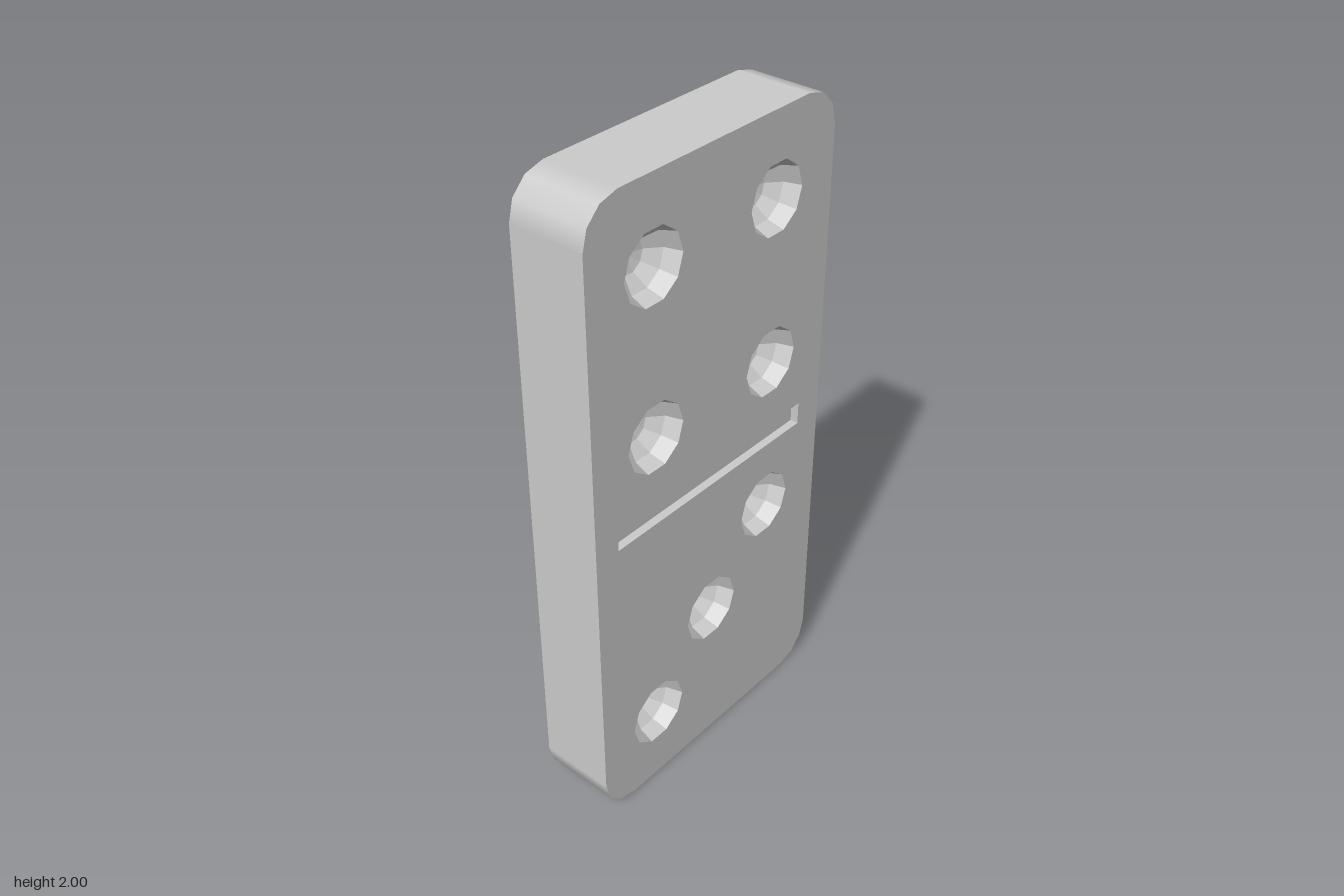
import * as THREE from 'three';

const HALF_W = 0.48, HEIGHT = 2, HALF_T = 0.118, CORNER = 0.12, CORNER_STEPS = 3;
const PIP_R = 0.107, PIP_SIDES = 10, GROOVE_DEPTH = 0.025;

// Closed wall through a loop of points, between two depths; normals are optional
function wall(points, z0, z1, normals) {
  const pos = [], nor = [];
  points.forEach((p, i) => {
    const j = (i + 1) % points.length, q = points[j];
    const corners = [[p, z0, i], [q, z0, j], [q, z1, j], [p, z0, i], [q, z1, j], [p, z1, i]];
    for (const [v, z, k] of corners) {
      pos.push(v.x, v.y, z);
      if (normals) nor.push(normals[k].x, normals[k].y, 0);
    }
  });
  const g = new THREE.BufferGeometry();
  g.setAttribute('position', new THREE.Float32BufferAttribute(pos, 3));
  if (normals) g.setAttribute('normal', new THREE.Float32BufferAttribute(nor, 3));
  else g.computeVertexNormals();
  return g;
}

export function createModel() {
  const model = new THREE.Group();
  const tile = new THREE.Group(); // built facing +z, then turned to face +x
  tile.name = 'dominoTile';
  tile.rotation.y = Math.PI / 2;
  model.add(tile);

  const smooth = new THREE.MeshStandardMaterial({ color: 0xcccccc });
  const faceted = new THREE.MeshStandardMaterial({ color: 0xcccccc, flatShading: true });
  const add = (name, geometry, material = smooth) => {
    const mesh = new THREE.Mesh(geometry, material);
    mesh.name = name;
    tile.add(mesh);
    return mesh;
  };

  // Rounded outline, counter-clockwise from the lower right corner
  const outline = [], normals = [];
  const cx = HALF_W - CORNER;
  const centres = [[cx, CORNER], [cx, HEIGHT - CORNER], [-cx, HEIGHT - CORNER], [-cx, CORNER]];
  centres.forEach(([x, y], c) => {
    for (let i = 0; i <= CORNER_STEPS; i++) {
      const a = (c - 1 + i / CORNER_STEPS) * Math.PI / 2;
      const n = new THREE.Vector2(Math.cos(a), Math.sin(a));
      normals.push(n);
      outline.push(new THREE.Vector2(x + CORNER * n.x, y + CORNER * n.y));
    }
  });
  add('edge', wall(outline, -HALF_T, HALF_T, normals));

  // Plain back
  const back = new THREE.ShapeGeometry(new THREE.Shape(outline));
  back.rotateY(Math.PI); // the outline is symmetric
  add('back', back).position.z = -HALF_T;

  // Face with openings for the pips and the dividing groove
  const face = new THREE.Shape(outline);
  const pips = [
    [-0.24, 1.75], [0.24, 1.75], [-0.24, 1.25], [0.24, 1.25],
    [0.235, 0.75], [-0.005, 0.5], [-0.245, 0.25],
  ];
  for (const [x, y] of pips) {
    const rim = [];
    for (let i = 0; i < PIP_SIDES; i++) {
      const a = -i / PIP_SIDES * Math.PI * 2;
      rim.push(new THREE.Vector2(x + PIP_R * Math.cos(a), y + PIP_R * Math.sin(a)));
    }
    face.holes.push(new THREE.Path(rim));
  }
  const groove = [[-0.395, 0.967], [-0.395, 1.037], [0.385, 1.037], [0.385, 0.967]]
    .map(([x, y]) => new THREE.Vector2(x, y));
  face.holes.push(new THREE.Path(groove));
  add('face', new THREE.ShapeGeometry(face)).position.z = HALF_T;

  // Hollow pips: faceted bowls, rim to bottom
  const bowlProfile = [[PIP_R, 0], [0.091, -0.05], [0.052, -0.084], [0, -0.098]]
    .map(([r, d]) => new THREE.Vector2(r, d));
  const bowl = new THREE.LatheGeometry(bowlProfile, PIP_SIDES);
  bowl.rotateY(Math.PI / 2);
  bowl.rotateX(Math.PI / 2);
  for (const [x, y] of pips) add('pip', bowl, faceted).position.set(x, y, HALF_T);

  // Dividing groove
  add('grooveWalls', wall(groove, HALF_T - GROOVE_DEPTH, HALF_T));
  add('grooveFloor', new THREE.ShapeGeometry(new THREE.Shape(groove))).position.z = HALF_T - GROOVE_DEPTH;

  return model;
}
